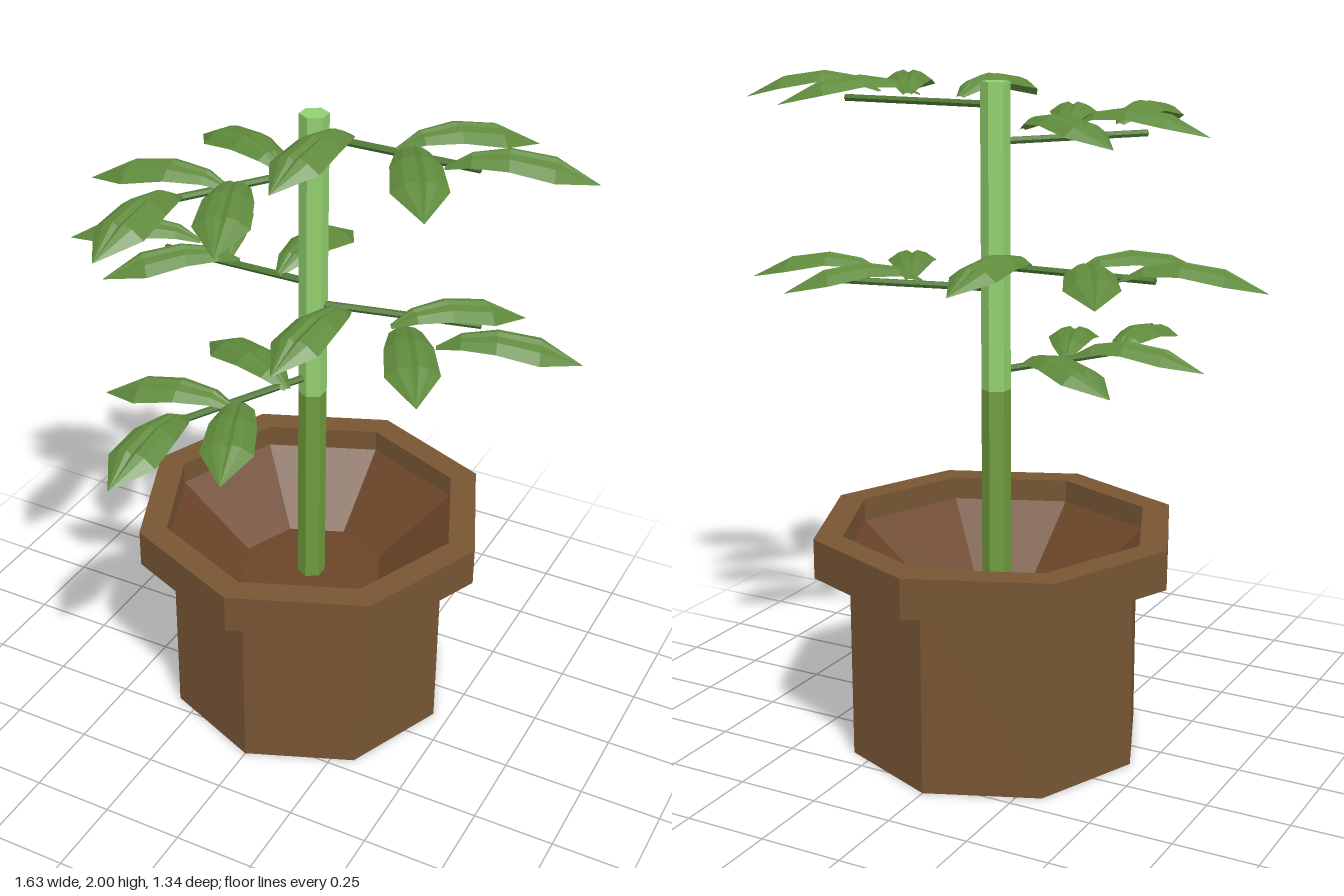
import * as THREE from 'three';

const mat = (color, extra = {}) => new THREE.MeshStandardMaterial({ color, flatShading: true, ...extra });
const CENTRE_Z = -0.115;

function add(parent, name, geometry, material) {
  const mesh = new THREE.Mesh(geometry, material);
  mesh.name = name;
  parent.add(mesh);
  return mesh;
}

// Octagonal surface of revolution
const lathe = (points) =>
  new THREE.LatheGeometry(points.map(([r, y]) => new THREE.Vector2(r, y)), 8);

// Arched, pleated leaf growing along +x; its highest row is at y = 0
function leafGeometry() {
  // distance along leaf, half width, height
  const rows = [[0, 0.012, -0.055], [0.07, 0.047, -0.015], [0.17, 0.07, 0], [0.29, 0.078, -0.018], [0.41, 0.001, -0.08]];
  // fraction of half width, drop as a fraction of half width
  const section = [[-1, 0.42], [-0.55, 0.1], [-0.2, 0], [0, 0.12], [0.2, 0], [0.55, 0.1], [1, 0.42]];
  const positions = [], index = [], n = section.length;
  for (const [x, w, y] of rows)
    for (const [t, drop] of section) positions.push(x, y - drop * w, t * w);
  for (let i = 0; i < rows.length - 1; i++)
    for (let j = 0; j < n - 1; j++) {
      const a = i * n + j, b = a + n;
      index.push(a, a + 1, b, b, a + 1, b + 1);
    }
  const geo = new THREE.BufferGeometry();
  geo.setAttribute('position', new THREE.Float32BufferAttribute(positions, 3));
  geo.setIndex(index);
  geo.computeVertexNormals();
  return geo;
}

export function createModel() {
  const model = new THREE.Group();
  model.name = 'pottedPlant';
  const plant = new THREE.Group();
  plant.name = 'plant';
  plant.position.z = CENTRE_Z;
  model.add(plant);

  const clay = mat(0x775533);
  const soil = mat(0x6b4528);
  const leafMat = mat(0x5f8a3c, { side: THREE.DoubleSide });
  const stalkMat = mat(0x4f7a34);

  // Pot with overhanging rim, and the sunken soil inside
  add(plant, 'pot', lathe([[0, 0], [0.45, 0], [0.45, 0.57], [0.555, 0.57], [0.555, 0.69], [0.468, 0.69], [0.468, 0.62]]), clay);
  add(plant, 'soil', lathe([[0.468, 0.62], [0.233, 0.43], [0, 0.43]]), soil);

  // Hexagonal stem in two tones
  const stem = (name, y0, y1, color) => {
    const mesh = add(plant, name, new THREE.CylinderGeometry(0.043, 0.043, y1 - y0, 6), mat(color));
    mesh.position.y = (y0 + y1) / 2;
  };
  stem('lowerStem', 0.42, 1.1, 0x6f9c3c);
  stem('upperStem', 1.1, 1.99, 0x92d06e);

  // Leaf base x, z and heading in degrees (from +x towards +z) within a spray
  const leaves = [[0.11, -0.01, 95], [0.26, 0.02, -41], [0.295, 0.01, 60], [0.425, 0.07, -19]];
  // Spray heading, stalk heading, stalk height, leaf top height
  const sprays = [
    [110.4, 118, 1.155, 1.21],
    [0, -12, 1.4, 1.455],
    [181, 180, 1.465, 1.528],
    [110.4, 125, 1.822, 1.905],
    [0, 0, 1.925, 2.0],
  ];
  const leafGeo = leafGeometry();
  const stalkGeo = new THREE.CylinderGeometry(0.011, 0.011, 0.5, 6);
  stalkGeo.rotateZ(-Math.PI / 2).translate(0.25, 0, 0);
  const turn = (object, degrees) => { object.rotation.y = -THREE.MathUtils.degToRad(degrees); };

  for (const [heading, stalkHeading, stalkY, topY] of sprays) {
    const stalk = add(plant, 'stalk', stalkGeo, stalkMat);
    stalk.position.y = stalkY;
    turn(stalk, stalkHeading);

    const spray = new THREE.Group();
    spray.name = 'leafSpray';
    spray.position.y = topY;
    turn(spray, heading);
    plant.add(spray);
    for (const [x, z, angle] of leaves) {
      const leaf = add(spray, 'leaf', leafGeo, leafMat);
      leaf.position.set(x, 0, z);
      turn(leaf, angle);
    }
  }
  return model;
}
